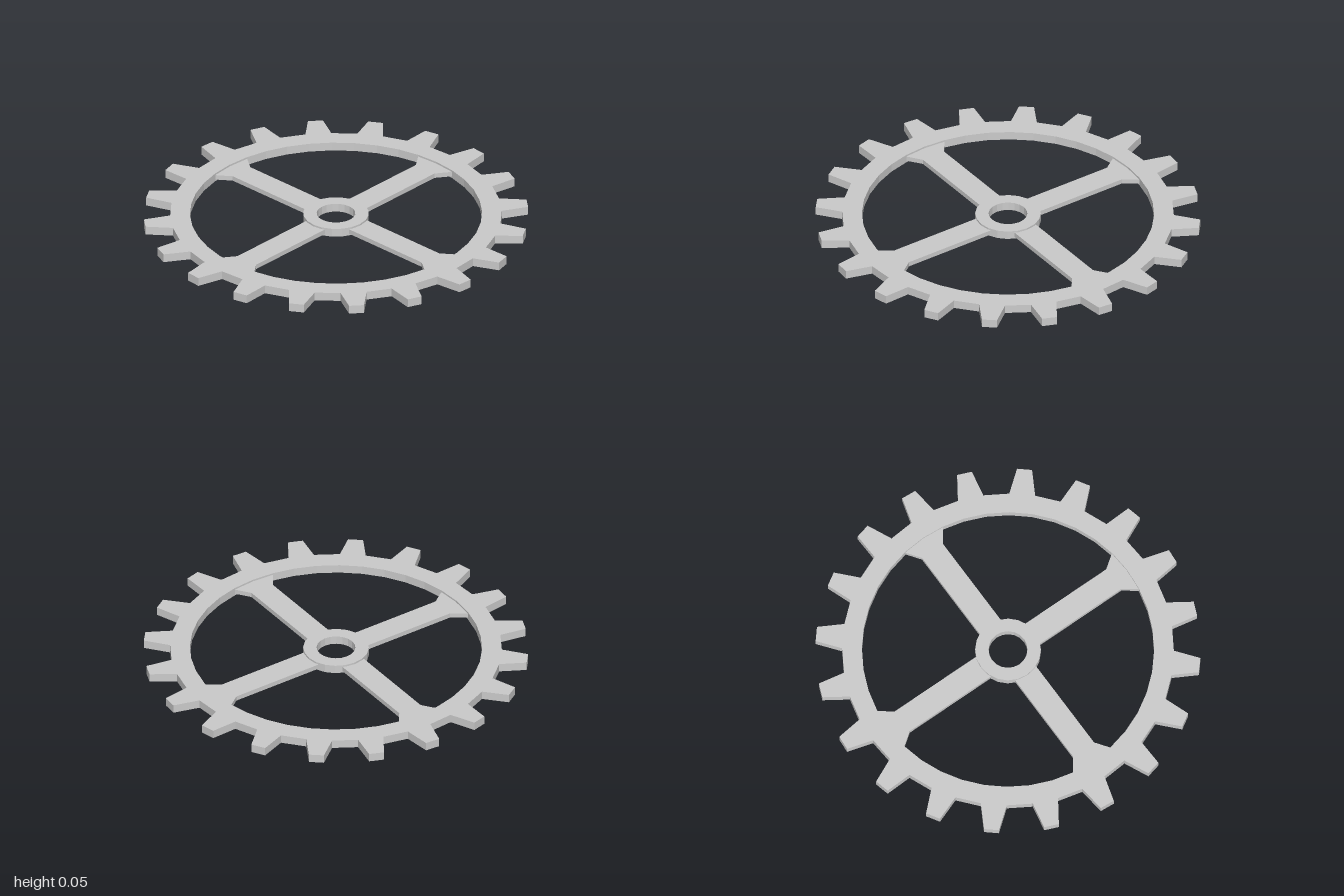
import * as THREE from 'three';

const TEETH = 20, HEIGHT = 0.046, SPOKE_HEIGHT = 0.026;
const material = new THREE.MeshStandardMaterial({ color: 0xcccccc, flatShading: true });

// Point at a radius and an angle in degrees, measured from +x towards +z
const polar = (r, deg) => {
  const a = THREE.MathUtils.degToRad(deg);
  return new THREE.Vector2(r * Math.cos(a), r * Math.sin(a));
};

const circle = (r, sides) => Array.from({ length: sides }, (_, i) => polar(r, (i * 360) / sides));

// Flat plate lying in the xz plane, centred on the wheel's mid height
function plate(name, outline, thickness, hole) {
  const shape = new THREE.Shape(outline);
  if (hole) shape.holes.push(new THREE.Path(hole));
  const geometry = new THREE.ExtrudeGeometry(shape, { depth: thickness, bevelEnabled: false });
  geometry.rotateX(Math.PI / 2);
  geometry.translate(0, (HEIGHT + thickness) / 2, 0);
  const mesh = new THREE.Mesh(geometry, material);
  mesh.name = name;
  return mesh;
}

export function createModel() {
  const gear = new THREE.Group();
  gear.name = 'gearWheel';

  // Toothed rim: each tooth tapers from root to tip
  const step = 360 / TEETH;
  const teeth = [];
  for (let i = 0; i < TEETH; i++) {
    const a = i * step;
    teeth.push(
      polar(0.862, a),
      polar(1.0007, a + step / 8),
      polar(1.0007, a + (step * 3) / 8),
      polar(0.862, a + step / 2),
    );
  }
  gear.add(plate('toothedRim', teeth, HEIGHT, circle(0.759, TEETH * 2)));

  // Hub with axle hole
  gear.add(plate('hub', circle(0.171, 20), HEIGHT, circle(0.101, 20)));

  // Four thinner spokes that flare where they meet the rim
  const side = [[0.15, 0.067], [0.675, 0.067], [0.765, 0.132]];
  const outline = [
    ...side.map(([x, y]) => new THREE.Vector2(x, -y)),
    ...side.slice().reverse().map(([x, y]) => new THREE.Vector2(x, y)),
  ];
  for (let i = 0; i < 4; i++) {
    const spoke = plate('spoke' + (i + 1), outline, SPOKE_HEIGHT);
    spoke.rotation.y = (i * Math.PI) / 2;
    gear.add(spoke);
  }
  return gear;
}
